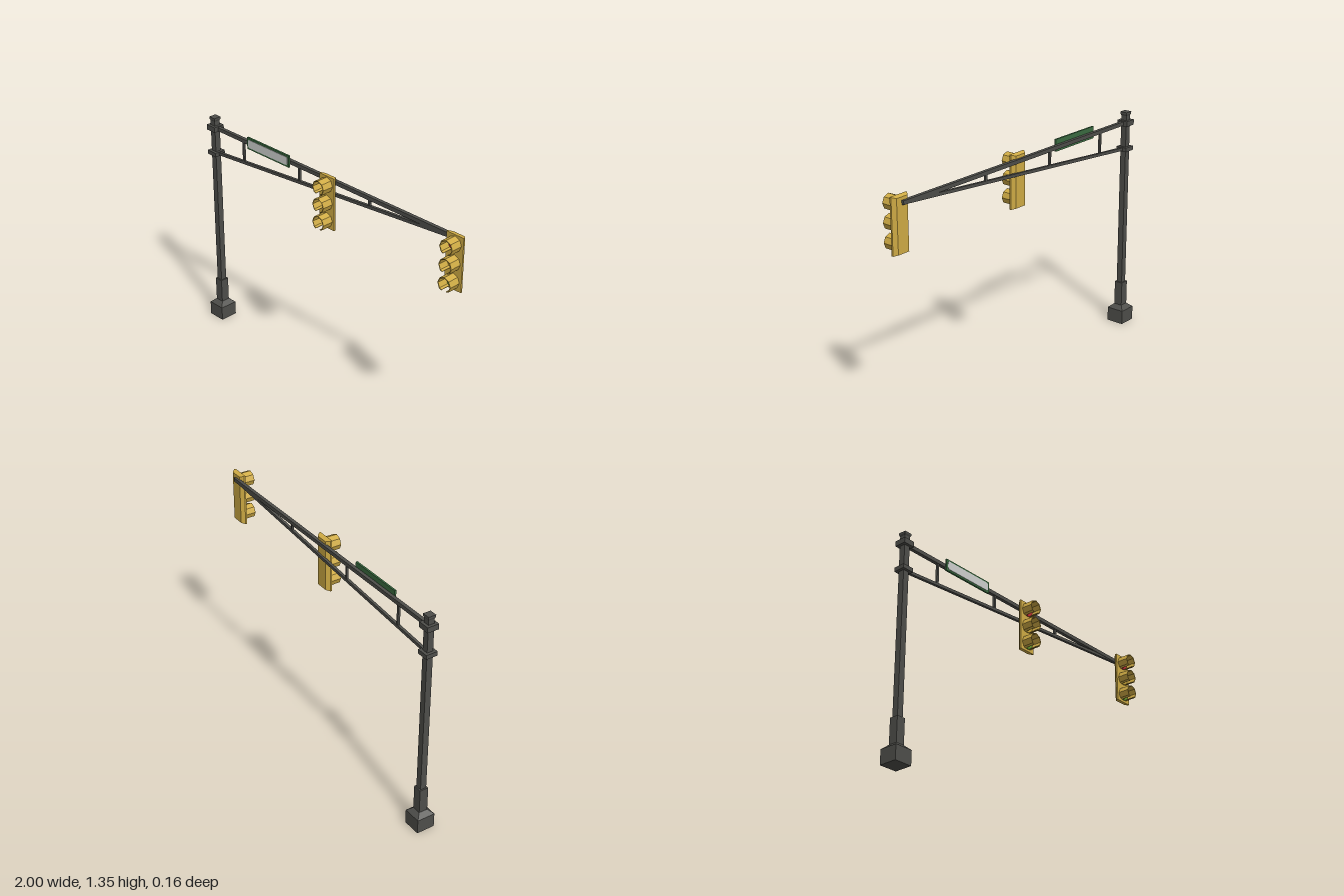
import * as THREE from 'three';

const mat = (name, color) => {
  const m = new THREE.MeshStandardMaterial({ color });
  m.name = name;
  return m;
};

export function createModel() {
  const steel = mat('dark steel', 0x4e4e4a);
  const yellow = mat('signal yellow', 0xd0ac45);
  const amber = mat('amber lens', 0xd2ac3a);
  const red = mat('red lens', 0xbe3034);
  const green = mat('green lens', 0x68982a);
  const signGreen = mat('sign green', 0x3a6b40);
  const panel = mat('sign panel grey', 0xcfd1cf);

  const model = new THREE.Group();
  model.name = 'trafficSignal';
  const PX = -0.945, PZ = -0.0225;

  const add = (parent, name, geo, material, x = 0, y = 0, z = 0) => {
    const m = new THREE.Mesh(geo, material);
    m.name = name;
    m.position.set(x, y, z);
    parent.add(m);
    return m;
  };
  const box = (parent, name, w, h, d, material, x, y, z) =>
    add(parent, name, new THREE.BoxGeometry(w, h, d), material, x, y, z);

  // Box whose far end (+y or +z) has a different cross-section
  const taper = (w, h, d, axis, sx, sOther) => {
    const g = new THREE.BoxGeometry(w, h, d);
    const p = g.attributes.position;
    for (let i = 0; i < p.count; i++) {
      if (axis === 'y' && p.getY(i) > 0) {
        p.setX(i, p.getX(i) * sx);
        p.setZ(i, p.getZ(i) * sOther);
      } else if (axis === 'z' && p.getZ(i) < 0) {
        p.setX(i, p.getX(i) * sx);
        p.setY(i, p.getY(i) * sOther);
      }
    }
    g.computeVertexNormals();
    return g;
  };

  // Square pole with stepped base, clamps and flared cap
  const pole = new THREE.Group();
  pole.name = 'pole';
  pole.position.set(PX, 0, PZ);
  model.add(pole);
  box(pole, 'base', 0.11, 0.086, 0.11, steel, 0, 0.043, 0);
  add(pole, 'baseTaper', taper(0.11, 0.025, 0.11, 'y', 0.48, 0.48), steel, 0, 0.0985, 0);
  box(pole, 'sleeve', 0.053, 0.15, 0.053, steel, 0, 0.185, 0);
  box(pole, 'shaft', 0.037, 1.08, 0.037, steel, 0, 0.79, 0);
  add(pole, 'capFlare', taper(0.037, 0.01, 0.037, 'y', 1.24, 1.24), steel, 0, 1.333, 0);
  box(pole, 'cap', 0.046, 0.012, 0.046, steel, 0, 1.344, 0);
  box(pole, 'upperClamp', 0.07, 0.032, 0.07, steel, 0, 1.284, 0);
  box(pole, 'lowerClamp', 0.07, 0.025, 0.07, steel, 0, 1.124, 0);

  // Mast arm truss
  const arm = new THREE.Group();
  arm.name = 'mastArm';
  model.add(arm);
  box(arm, 'upperBeam', 1.885, 0.023, 0.021, steel, 0.0025, 1.284, PZ);
  const x0 = PX, y0 = 1.122, x1 = 0.93, y1 = 1.282;
  const lower = box(arm, 'lowerBeam', Math.hypot(x1 - x0, y1 - y0), 0.018, 0.016, steel,
    (x0 + x1) / 2, (y0 + y1) / 2, PZ);
  lower.rotation.z = Math.atan2(y1 - y0, x1 - x0);
  for (const x of [-0.692, -0.225, 0.317]) {
    const yb = y0 + (y1 - y0) * (x - x0) / (x1 - x0);
    box(arm, 'strut', 0.013, 1.284 - yb, 0.013, steel, x, (1.284 + yb) / 2, PZ);
  }

  // Blank street sign: green board with a chamfered pale plate
  box(model, 'signBoard', 0.348, 0.072, 0.011, signGreen, -0.467, 1.289, -0.0085);
  const w = 0.164, h = 0.025, c = 0.009;
  const plate = new THREE.Shape([
    [-w + c, -h], [w - c, -h], [w, -h + c], [w, h - c],
    [w - c, h], [-w + c, h], [-w, h - c], [-w, -h + c],
  ].map(([x, y]) => new THREE.Vector2(x, y)));
  add(model, 'signPlate', new THREE.ExtrudeGeometry(plate, { depth: 0.003, bevelEnabled: false }),
    panel, -0.467, 1.289, -0.0035);

  // Faceted hood profile, open at the bottom
  const ring = (r) => {
    const pts = [];
    for (let i = -3; i <= 3; i++) {
      const a = Math.PI / 2 + i * Math.PI / 4;
      pts.push(new THREE.Vector2(Math.cos(a) * r, Math.sin(a) * r));
    }
    const k = r / 0.044;
    return [new THREE.Vector2(0.016 * k, -0.037 * k), ...pts, new THREE.Vector2(-0.016 * k, -0.037 * k)];
  };
  const hoodGeo = new THREE.ExtrudeGeometry(
    new THREE.Shape([...ring(0.044), ...ring(0.039).reverse()]),
    { depth: 0.069, bevelEnabled: false });
  const lensGeo = new THREE.CylinderGeometry(0.038, 0.038, 0.01, 16).rotateX(Math.PI / 2);

  // Signal heads
  for (const x of [0.025, 0.942]) {
    const head = new THREE.Group();
    head.name = 'signalHead';
    head.position.set(x, 1.162, 0);
    model.add(head);
    add(head, 'housing', taper(0.114, 0.316, 0.02, 'z', 0.68, 0.96), yellow, 0, 0, -0.009);
    box(head, 'facePlate', 0.114, 0.316, 0.01, yellow, 0, 0, 0.006);
    [[0.107, red, 'redLens'], [0, amber, 'amberLens'], [-0.107, green, 'greenLens']]
      .forEach(([y, m, name]) => {
        add(head, name, lensGeo, m, 0, y, 0.013);
        add(head, 'hood', hoodGeo, yellow, 0, y, 0.0095);
      });
  }
  return model;
}
